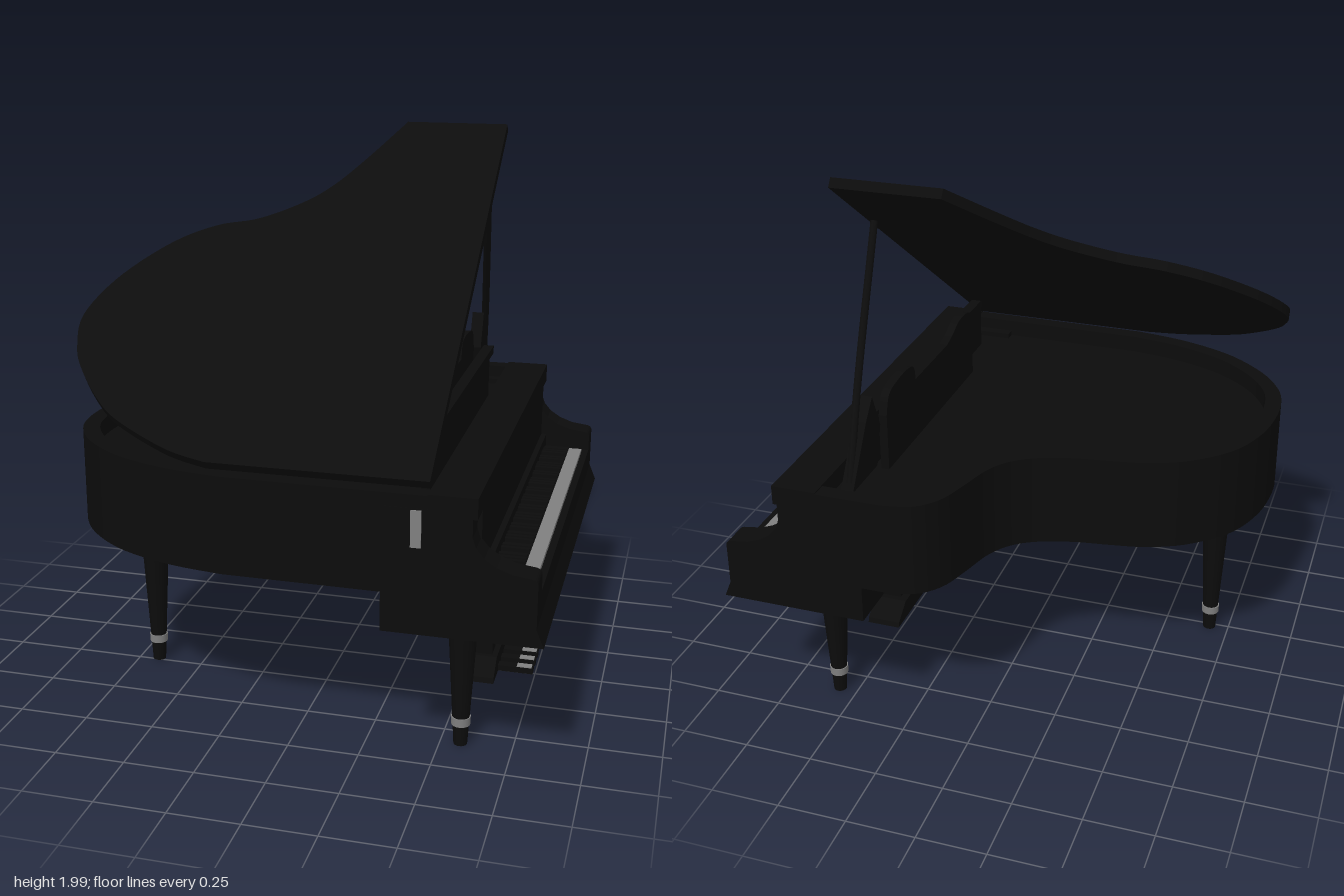
import * as THREE from 'three';

const black = new THREE.MeshStandardMaterial({ color: 0x0c0c0c });
black.name = 'black lacquer';
const grey = new THREE.MeshStandardMaterial({ color: 0x808080 });
grey.name = 'grey metal and ivory';

const vecs = (pts) => pts.map(([x, y]) => new THREE.Vector2(x, y));

export function createModel() {
  const model = new THREE.Group();
  model.name = 'grandPiano';

  function add(name, geometry, material = black, parent = model) {
    const mesh = new THREE.Mesh(geometry, material);
    mesh.name = name;
    parent.add(mesh);
    return mesh;
  }
  // Box given by its minimum and maximum on each axis
  function box(name, [x0, x1], [y0, y1], [z0, z1], material, parent) {
    const g = new THREE.BoxGeometry(x1 - x0, y1 - y0, z1 - z0);
    g.translate((x0 + x1) / 2, (y0 + y1) / 2, (z0 + z1) / 2);
    return add(name, g, material, parent);
  }
  const extrude = (shape, depth) =>
    new THREE.ExtrudeGeometry(shape, { depth, bevelEnabled: false, curveSegments: 5 });
  // Horizontal slab from a plan in (x, -z)
  const slab = (shape, y0, y1) => extrude(shape, y1 - y0).rotateX(-Math.PI / 2).translate(0, y0, 0);
  // Plate standing across x from a profile in (z, y)
  const crossPlate = (shape, x0, x1) => extrude(shape, x1 - x0).rotateY(-Math.PI / 2).translate(x1, 0, 0);

  // Case plan: straight bass side, round tail, bent treble side
  const curve = new THREE.SplineCurve(vecs([
    [0.25, 0.835], [0.15, 0.81], [0.08, 0.74], [0.04, 0.63], [0, 0.5], [-0.06, 0.415],
    [-0.15, 0.36], [-0.27, 0.325], [-0.4, 0.305], [-0.52, 0.28], [-0.65, 0.22], [-0.78, 0.1],
    [-0.85, -0.05], [-0.877, -0.2], [-0.875, -0.34], [-0.84, -0.46], [-0.75, -0.59],
    [-0.6, -0.71], [-0.4, -0.79], [-0.2, -0.825]]));
  const plan = [new THREE.Vector2(0.63, 0.835), ...curve.getPoints(80), new THREE.Vector2(0.63, -0.83)];
  const inset = plan.map((p, i) => {
    const a = plan[Math.max(i - 1, 0)], b = plan[Math.min(i + 1, plan.length - 1)];
    const t = b.clone().sub(a).normalize();
    return new THREE.Vector2(Math.min(p.x - t.y * 0.06, 0.58), p.y + t.x * 0.06);
  });

  // Case: rim, bottom and recessed soundboard
  const rim = new THREE.Shape(plan);
  rim.holes.push(new THREE.Path(inset));
  add('rim', slab(rim, 0.65, 0.985));
  add('caseFloor', slab(new THREE.Shape(plan), 0.645, 0.67));
  add('soundboard', slab(new THREE.Shape(inset), 0.88, 0.92));

  // Keyboard bed with a flared front foot
  const bed = new THREE.Shape(vecs([[0.34, 0.51], [0.87, 0.51], [0.845, 0.57], [0.845, 0.665],
    [0.82, 0.665], [0.82, 0.635], [0.34, 0.66]]));
  add('keyBed', extrude(bed, 1.66).translate(0, 0, -0.83));

  // Scrolled cheeks at both ends of the keyboard
  const cheek = new THREE.Shape();
  cheek.moveTo(0.34, 0.51);
  cheek.lineTo(0.87, 0.51);
  cheek.lineTo(0.845, 0.57);
  cheek.lineTo(0.845, 0.725);
  cheek.quadraticCurveTo(0.843, 0.74, 0.82, 0.742);
  cheek.bezierCurveTo(0.72, 0.745, 0.64, 0.8, 0.635, 0.86);
  cheek.lineTo(0.635, 0.94);
  cheek.lineTo(0.34, 0.94);
  for (const z of [-0.835, 0.73]) add('cheek', extrude(cheek, 0.1).translate(0, 0, z));

  box('frontTop', [0.49, 0.65], [0.92, 0.99], [-0.835, 0.83]);
  box('fallboard', [0.59, 0.65], [0.64, 0.93], [-0.74, 0.74]);
  box('fallboardLip', [0.64, 0.67], [0.64, 0.72], [-0.74, 0.74]);

  // Keys: pale front edge, dark backs and raised sharps
  const keys = new THREE.Group();
  keys.name = 'keyboard';
  model.add(keys);
  box('keyBacks', [0.65, 0.768], [0.63, 0.672], [-0.73, 0.73], black, keys);
  box('whiteKeys', [0.768, 0.818], [0.63, 0.672], [-0.72, 0.72], grey, keys);
  const step = 1.44 / 52;
  for (let i = 1; i < 52; i++) {
    if ([0, 1, 3, 4, 5].includes((i + 4) % 7)) {
      const z = 0.72 - i * step;
      box('blackKey', [0.67, 0.766], [0.67, 0.686], [z - 0.008, z + 0.008], black, keys);
    }
  }

  // Raised lid, hinged along the bass side
  const lid = new THREE.Shape();
  lid.moveTo(-0.25, 0);
  lid.lineTo(0.495, 0);
  lid.lineTo(0.495, 1.68);
  lid.lineTo(0.11, 1.68);
  lid.splineThru(vecs([[0, 1.48], [-0.1, 1.32], [-0.2, 1.215], [-0.35, 1.12], [-0.5, 1.075],
    [-0.65, 0.975], [-0.8, 0.79], [-0.875, 0.6], [-0.85, 0.45], [-0.8, 0.35], [-0.7, 0.225],
    [-0.6, 0.14], [-0.4, 0.04], [-0.25, 0]]));
  add('lid', extrude(lid, 0.035).rotateX(-0.959).translate(0, 1.0, 0.8));

  // Lid prop and its foot
  const from = new THREE.Vector3(0.395, 1.0, -0.755), to = new THREE.Vector3(0.475, 1.77, -0.275);
  const mid = new THREE.Vector3(0.425, 1.28, -0.595);
  add('lidProp', new THREE.TubeGeometry(new THREE.CatmullRomCurve3([from, mid, to]), 12, 0.014, 8));
  add('propFoot', crossPlate(new THREE.Shape(vecs([[-0.78, 0.98], [-0.65, 1.18], [-0.59, 1.25],
    [-0.535, 1.12], [-0.575, 0.98]])), 0.375, 0.42));

  // Music desk: long shelf board with an arched board behind
  box('deskBoard', [0.43, 0.46], [0.9, 1.12], [-0.51, 0.64]);
  box('deskRail', [0.425, 0.465], [1.09, 1.12], [-0.58, 0.64]);
  const arch = new THREE.Shape();
  arch.moveTo(-0.49, 0.92);
  arch.lineTo(0.37, 0.92);
  arch.lineTo(0.37, 1.15);
  arch.splineThru(vecs([[0.35, 1.185], [0.29, 1.2], [0.22, 1.195], [0.16, 1.17], [0.1, 1.152]]));
  arch.lineTo(-0.22, 1.152);
  arch.splineThru(vecs([[-0.235, 1.205], [-0.29, 1.222], [-0.38, 1.22], [-0.46, 1.2], [-0.49, 1.13]]));
  add('musicDesk', crossPlate(arch, 0.37, 0.4));

  // Tapered legs with metal ferrules
  for (const [x, z, h, r] of [[-0.675, 0.235, 0.66, 0.06], [0.57, 0.58, 0.52, 0.055], [0.57, -0.59, 0.52, 0.055]]) {
    const leg = new THREE.Group();
    leg.name = 'leg';
    leg.position.set(x, 0, z);
    model.add(leg);
    add('legPost', new THREE.CylinderGeometry(r, 0.024, h, 20).translate(0, h / 2, 0), black, leg);
    add('ferrule', new THREE.CylinderGeometry(0.034, 0.033, 0.03, 20).translate(0, 0.09, 0), grey, leg);
  }

  // Pedal lyre: two posts, spreading base and three pedals
  const lyre = new THREE.Group();
  lyre.name = 'pedalLyre';
  model.add(lyre);
  for (const z of [0.062, -0.068]) box('lyrePost', [0.52, 0.6], [0.09, 0.53], [z - 0.04, z + 0.04], black, lyre);
  const base = new THREE.Shape(vecs([[-0.21, 0.035], [0.19, 0.035], [0.185, 0.055], [0.12, 0.11],
    [-0.13, 0.11], [-0.205, 0.055]]));
  add('lyreBase', crossPlate(base, 0.49, 0.62), black, lyre);
  for (const z of [-0.075, -0.005, 0.065]) {
    box('pedal', [0.6, 0.75], [0.038, 0.06], [z - 0.018, z + 0.018], black, lyre);
    box('pedalPlate', [0.69, 0.745], [0.06, 0.063], [z - 0.015, z + 0.015], grey, lyre);
  }

  // Metal plate on the bass side
  box('sidePlate', [0.437, 0.472], [0.81, 0.935], [0.828, 0.836], grey);

  return model;
}
